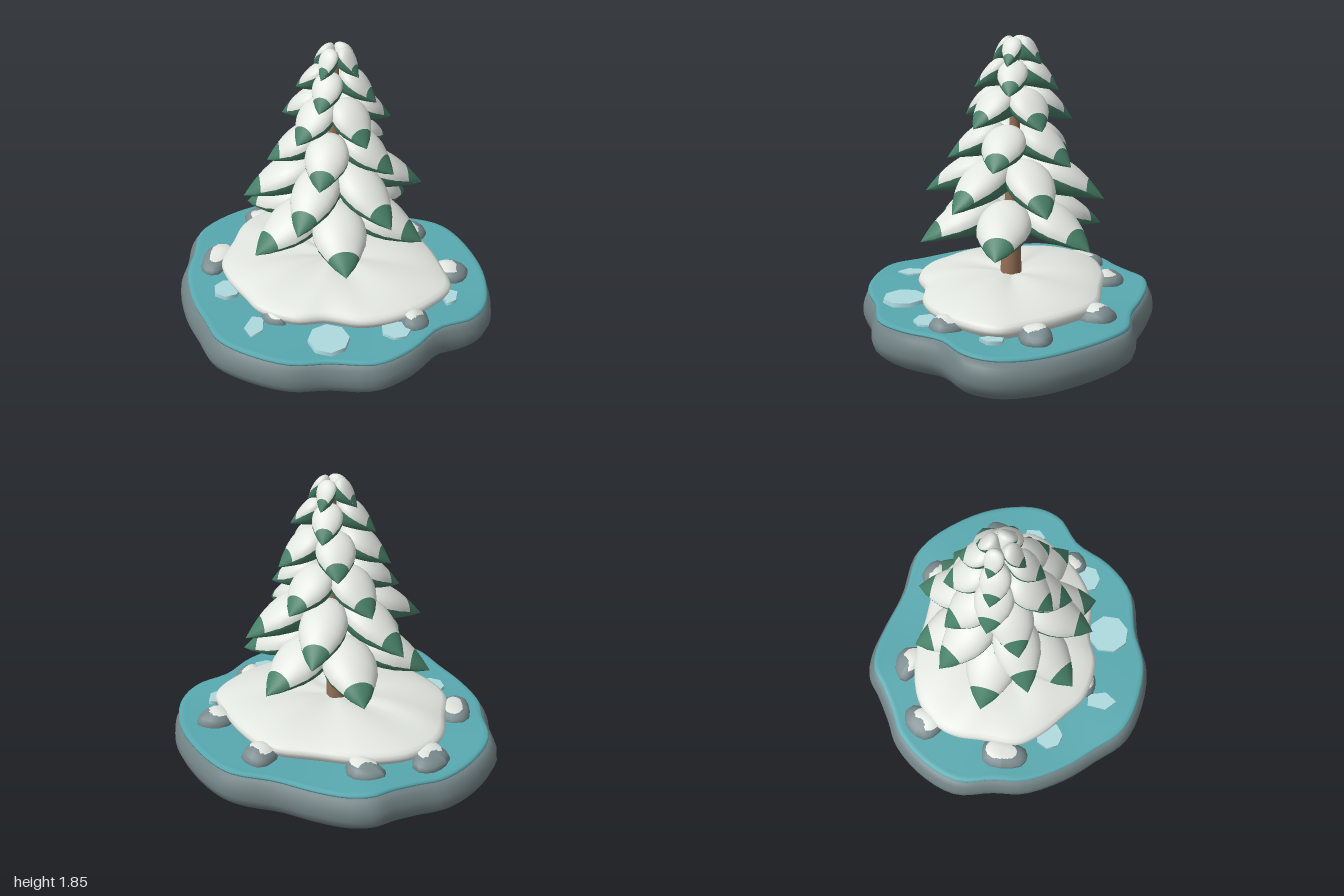
import * as THREE from 'three';
import { mergeVertices } from 'three/addons/utils/BufferGeometryUtils.js';

const mat = (name, color, side = THREE.FrontSide) => {
  const m = new THREE.MeshStandardMaterial({ color, side });
  m.name = name;
  return m;
};

// Indexed surface from fn(u, v) -> [x, y, z], u and v in 0..1
function grid(fn, nu, nv) {
  const pos = [], idx = [];
  for (let i = 0; i <= nu; i++)
    for (let j = 0; j <= nv; j++) pos.push(...fn(i / nu, j / nv));
  for (let i = 0; i < nu; i++)
    for (let j = 0; j < nv; j++) {
      const a = i * (nv + 1) + j, b = a + 1, c = a + nv + 1, d = c + 1;
      idx.push(a, b, c, b, d, c);
    }
  const g = new THREE.BufferGeometry();
  g.setAttribute('position', new THREE.Float32BufferAttribute(pos, 3));
  g.setIndex(idx);
  g.computeVertexNormals();
  return g;
}

// Solid made of scaled copies of a ground outline; levels run bottom to top as [scale, y]
function slab(outline, levels, centre, wave) {
  const n = 96;
  const curve = new THREE.CatmullRomCurve3(outline.map(([x, z]) => new THREE.Vector3(x, 0, z)), true);
  const pts = curve.getPoints(n);
  const g = grid((u, v) => {
    const [s, y] = levels[Math.round(u * (levels.length - 1))];
    const j = Math.round(v * n) % n;
    const p = pts[j];
    return [centre[0] + (p.x - centre[0]) * s, y + wave(s, (j / n) * Math.PI * 2), centre[1] + (p.z - centre[1]) * s];
  }, levels.length - 1, n);
  g.deleteAttribute('normal');
  const merged = mergeVertices(g, 1e-5);
  merged.computeVertexNormals();
  return merged;
}

export function createModel() {
  const root = new THREE.Group();
  root.name = 'snowyTreeIsland';

  const stone = mat('stone', 0x718284);
  const water = mat('water', 0x58a9b0);
  const snow = mat('snow', 0xe2e6e0, THREE.DoubleSide);
  const bark = mat('bark', 0x946f55);
  const needles = mat('needles', 0x488068, THREE.DoubleSide);
  const ice = mat('ice', 0xaedadf);
  const rockGrey = mat('rockGrey', 0x7a8b8e);

  const add = (parent, name, geo, material) => {
    const m = new THREE.Mesh(geo, material);
    m.name = name;
    parent.add(m);
    return m;
  };

  // Stone base and the water sheet lying on it
  const shore = [
    [-0.29, -0.88], [-0.43, -0.85], [-0.53, -0.76], [-0.67, -0.65], [-0.8, -0.56], [-0.94, -0.35],
    [-1, -0.11], [-0.93, 0.11], [-0.88, 0.3], [-0.72, 0.53], [-0.56, 0.68], [-0.4, 0.82],
    [-0.19, 0.87], [0.08, 0.85], [0.29, 0.74], [0.56, 0.64], [0.71, 0.45], [0.8, 0.21],
    [0.95, 0.05], [0.99, -0.12], [0.94, -0.32], [0.83, -0.51], [0.61, -0.73], [0.44, -0.82],
    [0.16, -0.82], [-0.08, -0.86],
  ];
  add(root, 'stoneBase', slab(shore, [
    [0, 0.02], [0.4, 0.018], [0.74, 0.015], [0.84, 0.035], [0.92, 0.07], [0.98, 0.12], [1, 0.17],
    [0.995, 0.22], [0.975, 0.265], [0.95, 0.285], [0.91, 0.295], [0, 0.295],
  ], [0, 0], (s, a) => 0.01 * s * Math.sin(a * 5)), stone);
  add(root, 'water', slab(shore, [
    [0, 0.295], [0.9, 0.295], [0.94, 0.296], [0.955, 0.302], [0.957, 0.313], [0.945, 0.322], [0.92, 0.323], [0.88, 0.32], [0, 0.32],
  ], [0, 0], (s, a) => 0.01 * s * Math.sin(a * 5)), water).position.x = 0.012;

  // Snow mound with soft radial folds
  const drift = [
    [-0.27, -0.58], [-0.53, -0.48], [-0.66, -0.32], [-0.69, -0.19], [-0.67, -0.03], [-0.64, 0.19],
    [-0.53, 0.32], [-0.37, 0.43], [-0.24, 0.51], [0, 0.52], [0.16, 0.44], [0.37, 0.4],
    [0.53, 0.29], [0.67, 0.11], [0.74, -0.11], [0.64, -0.27], [0.48, -0.45], [0.27, -0.59], [-0.03, -0.59],
  ];
  add(root, 'snowMound', slab(drift, [
    [0, 0.3], [0.9, 0.3], [0.96, 0.325], [0.99, 0.35], [1, 0.37], [0.985, 0.392], [0.95, 0.406],
    [0.85, 0.427], [0.7, 0.45], [0.5, 0.466], [0.3, 0.468], [0.15, 0.46], [0, 0.45],
  ], [0, -0.05], (s, a) => 0.03 * s * (1 - s) * Math.sin(a * 6 + 1)), snow);

  // Leaning trunk
  const foot = new THREE.Vector3(-0.01, 0.4, -0.045), top = new THREE.Vector3(0.005, 1.79, -0.08);
  const trunk = add(root, 'trunk', new THREE.CylinderGeometry(0.016, 0.065, foot.distanceTo(top), 20), bark);
  trunk.position.lerpVectors(foot, top, 0.5);
  trunk.quaternion.setFromUnitVectors(new THREE.Vector3(0, 1, 0), top.clone().sub(foot).normalize());

  // Arched boughs: snow on top, green tip and a keeled green underside
  const widths = [0.08, 0.32, 0.62, 0.88, 1, 1, 0.9, 0.68, 0.4, 0];
  const widthAt = (t) => {
    const f = Math.min(t, 0.99999) * (widths.length - 1), i = Math.floor(f);
    return widths[i] + (widths[i + 1] - widths[i]) * (f - i);
  };
  function bough(length, half, drop, tipStart) {
    const peak = 0.32;
    const spine = (t) => -drop * (t < peak ? 0.5 * (1 - t / peak) ** 2 : ((t - peak) / (1 - peak)) ** 2);
    const upper = (t, v) => {
      const w = half * widthAt(t), a = (v - 0.5) * Math.PI;
      return [length * t, spine(t) - 0.72 * w * (1 - Math.cos(a)), w * Math.sin(a)];
    };
    const lower = (t, v) => {
      const w = half * widthAt(t), a = (0.5 - v) * Math.PI;
      const rim = spine(t) - 0.72 * w;
      const keel = Math.min(rim, -drop * (0.85 + 0.15 * t));
      return [length * t, rim + (keel - rim) * Math.cos(a), w * Math.sin(a)];
    };
    return [
      ['boughSnow', grid((u, v) => upper(u * tipStart, v), 16, 12), snow],
      ['boughTip', grid((u, v) => upper(tipStart + u * (1 - tipStart), v), 5, 12), needles],
      ['boughUnderside', grid(lower, 18, 10), needles],
    ];
  }
  // [count, start angle in degrees, length, half width, crown height, tip height]
  const tiers = [
    [6, 0, 0.565, 0.155, 0.945, 0.7],
    [6, 30, 0.53, 0.135, 1.185, 0.93],
    [5, 8, 0.39, 0.125, 1.375, 1.155],
    [5, 36, 0.33, 0.11, 1.585, 1.375],
    [4, 0, 0.245, 0.085, 1.74, 1.56],
    [4, 12, 0.15, 0.055, 1.862, 1.71],
  ];
  tiers.forEach(([count, start, length, half, crown, tip], k) => {
    const tier = new THREE.Group();
    tier.name = 'boughTier' + (k + 1);
    tier.position.lerpVectors(foot, top, (crown - 0.4) / 1.39).setY(crown);
    const parts = bough(length, half, crown - tip, 0.82);
    for (let i = 0; i < count; i++) {
      const b = new THREE.Group();
      b.name = 'bough';
      b.rotation.y = -THREE.MathUtils.degToRad(start + (i * 360) / count);
      parts.forEach((p) => add(b, ...p));
      tier.add(b);
    }
    root.add(tier);
  });

  // Snow-capped rocks around the mound: [x, z, half x, half z, turn]
  const rocks = [
    [-0.31, -0.61, 0.12, 0.085, -0.2], [0.31, -0.6, 0.11, 0.11, 0.4], [0.68, -0.31, 0.12, 0.085, 0.3],
    [0.63, 0.2, 0.08, 0.1, 0.2], [-0.14, 0.52, 0.07, 0.04, 0], [-0.71, 0.12, 0.085, 0.15, 0.1], [-0.65, -0.41, 0.1, 0.125, -0.2],
  ];
  rocks.forEach(([x, z, rx, rz, turn], k) => {
    const lumpy = (g) => {
      const p = g.attributes.position, v = new THREE.Vector3();
      for (let i = 0; i < p.count; i++) {
        v.fromBufferAttribute(p, i);
        v.multiplyScalar(1 + 0.09 * Math.sin(3 * v.x + k) + 0.07 * Math.sin(4 * v.z + 2 * k));
        p.setXYZ(i, v.x, v.y, v.z);
      }
      g.computeVertexNormals();
      return g;
    };
    const rock = new THREE.Group();
    rock.name = 'rock';
    add(rock, 'rockBody', lumpy(new THREE.SphereGeometry(1, 14, 10)), rockGrey);
    const cap = add(rock, 'rockSnow', lumpy(new THREE.SphereGeometry(1, 14, 5, 0, Math.PI * 2, 0, 0.75)), snow);
    cap.position.set(-Math.sign(x) * 0.12, 0.06, -Math.sign(z) * 0.08);
    rock.scale.set(rx, rx < 0.075 ? 0.05 : 0.065, rz);
    rock.position.set(x, 0.325, z);
    rock.rotation.y = turn;
    root.add(rock);
  });

  // Thin ice floes: [x, z, half x, half z, sides, turn]
  const floes = [
    [-0.52, 0.36, 0.085, 0.085, 7, 0.3], [-0.22, 0.61, 0.06, 0.1, 5, 0.2], [0.22, 0.55, 0.125, 0.13, 8, 0.5],
    [0.55, 0.33, 0.09, 0.08, 7, 0.2], [0.75, -0.08, 0.045, 0.075, 5, 0],
  ];
  for (const [x, z, rx, rz, sides, turn] of floes) {
    const floe = add(root, 'iceFloe', new THREE.CylinderGeometry(0.97, 1, 0.03, sides), ice);
    floe.scale.set(rx, 1, rz);
    floe.position.set(x, 0.322, z);
    floe.rotation.y = turn;
  }
  return root;
}
